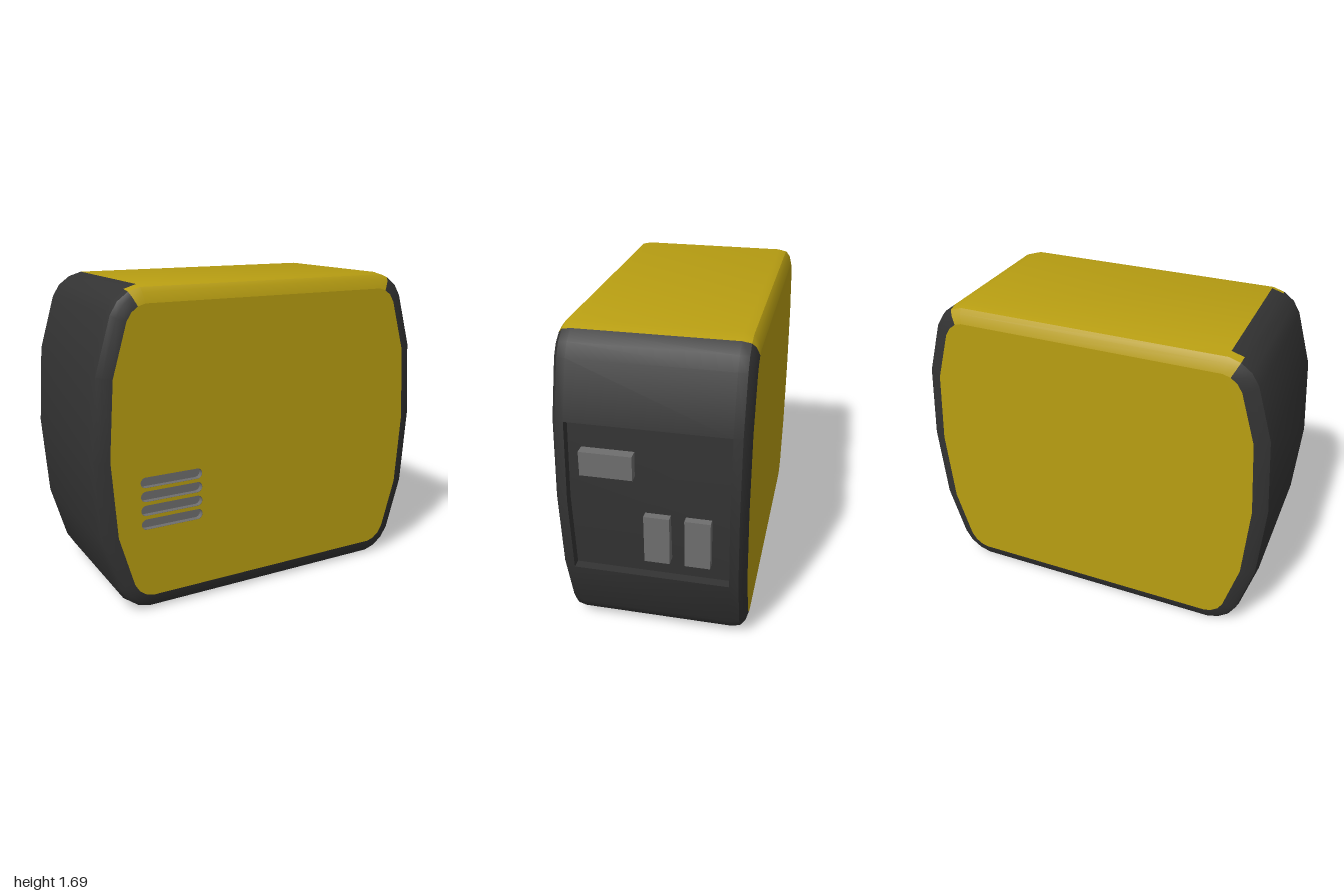
import * as THREE from 'three';
import { toCreasedNormals } from 'three/addons/utils/BufferGeometryUtils.js';

const yellow = new THREE.MeshStandardMaterial({ color: 0xb89e12 });
const black = new THREE.MeshStandardMaterial({ color: 0x333333, side: THREE.DoubleSide });
const grey = new THREE.MeshStandardMaterial({ color: 0x6e6e6e });

// Right half of the body outline, bottom to top; the left half is its mirror
const half = [
  [0.72, 0], [0.785, 0.02], [0.845, 0.065], [0.885, 0.13], [0.97, 0.425], [1, 0.85],
  [0.97, 1.27], [0.885, 1.56], [0.845, 1.625], [0.785, 1.67], [0.72, 1.69],
].map(([x, y]) => new THREE.Vector2(x, y));
const outline = [...half, ...half.slice().reverse().map(p => new THREE.Vector2(-p.x, p.y))];
const N = outline.length;

// Body cross-sections along z: [z, inset]
const sections = [[-0.485, 0.085], [-0.47, 0.035], [-0.45, 0.01], [-0.405, 0],
  [0.405, 0], [0.45, 0.01], [0.47, 0.035], [0.485, 0.085]];
const MIDDLE = 3;
const RECESS = [4, 5];
const SLOT_Y = [0.485, 0.56, 0.635, 0.71];

// Outline moved inwards by a fixed distance
function insetOutline(d) {
  return outline.map((p, i) => {
    const normal = (a, b) => new THREE.Vector2(b.y - a.y, a.x - b.x).normalize();
    const n1 = normal(outline[(i + N - 1) % N], p);
    const n2 = normal(p, outline[(i + 1) % N]);
    const n = n1.clone().add(n2).normalize();
    return p.clone().addScaledVector(n, -d / n.dot(n1));
  });
}

function addQuad(out, a, b, c, d) {
  for (const v of [a, b, c, a, c, d]) out.push(v.x, v.y, v.z);
}

function addMesh(group, name, geometry, material) {
  const mesh = new THREE.Mesh(geometry, material);
  mesh.name = name;
  group.add(mesh);
  return mesh;
}

function fromQuads(positions, crease) {
  const g = new THREE.BufferGeometry();
  g.setAttribute('position', new THREE.Float32BufferAttribute(positions, 3));
  return toCreasedNormals(g, crease);
}

// Rounded slot outline used for the vent openings
function slotPath(y) {
  const r = 0.028, x0 = -0.76 + r, x1 = -0.415 - r;
  const path = new THREE.Path();
  path.absarc(x1, y, r, -Math.PI / 2, Math.PI / 2, false);
  path.absarc(x0, y, r, Math.PI / 2, Math.PI * 1.5, false);
  path.closePath();
  return path;
}

export function createModel() {
  const model = new THREE.Group();
  model.name = 'roundedCase';

  // Shell: black band with a yellow strip over the top, open at the side recess
  const rings = sections.map(([z, d]) =>
    insetOutline(d).map(p => new THREE.Vector3(p.x, p.y, z)));
  const shell = [], topStrip = [], recess = [];
  for (let k = 0; k < rings.length - 1; k++) {
    for (let i = 0; i < N; i++) {
      if (k === MIDDLE && RECESS.includes(i)) continue;
      const j = (i + 1) % N;
      const isTop = i === 9 || i === 10 || (i === 11 && k !== MIDDLE);
      addQuad(isTop ? topStrip : shell, rings[k][i], rings[k][j], rings[k + 1][j], rings[k + 1][i]);
    }
  }
  addMesh(model, 'shell', fromQuads(shell, 0.6), black);
  addMesh(model, 'topPanel', fromQuads(topStrip, 0.6), yellow);

  // Sunken panel on the left side: floor and four walls
  const sink = v => v.clone().add(new THREE.Vector3(-0.05, 0, 0));
  const back = rings[MIDDLE], front = rings[MIDDLE + 1];
  for (const i of RECESS) {
    addQuad(recess, sink(back[i]), sink(back[i + 1]), sink(front[i + 1]), sink(front[i]));
    addQuad(recess, back[i], back[i + 1], sink(back[i + 1]), sink(back[i]));
    addQuad(recess, front[i + 1], front[i], sink(front[i]), sink(front[i + 1]));
  }
  addQuad(recess, back[4], sink(back[4]), sink(front[4]), front[4]);
  addQuad(recess, sink(back[6]), back[6], front[6], sink(front[6]));
  addMesh(model, 'sidePanel', fromQuads(recess, 0.3), black);

  // Blocks standing in the sunken panel: [y, z, height, depth]
  for (const [y, z, h, d] of [[1.06, 0.205, 0.13, 0.265],
    [0.665, -0.04, 0.265, 0.13], [0.665, -0.245, 0.265, 0.13]]) {
    addMesh(model, 'connector', new THREE.BoxGeometry(0.075, h, d), grey)
      .position.set(0.9475, y, z);
  }

  // Front and back faces; the front one is cut by the vent slots
  const facePoints = insetOutline(0.085);
  const frontShape = new THREE.Shape(facePoints);
  frontShape.holes = SLOT_Y.map(slotPath);
  addMesh(model, 'frontFace', new THREE.ShapeGeometry(frontShape), yellow).position.z = 0.485;
  const backFace = addMesh(model, 'backFace',
    new THREE.ShapeGeometry(new THREE.Shape(facePoints)), yellow);
  backFace.rotation.y = Math.PI;
  backFace.position.z = -0.485;

  // Vent housing: slot walls behind the front face and a closed floor
  const plate = new THREE.Shape([[-0.79, 0.43], [-0.39, 0.43], [-0.39, 0.765], [-0.79, 0.765]]
    .map(([x, y]) => new THREE.Vector2(x, y)));
  plate.holes = SLOT_Y.map(slotPath);
  const walls = new THREE.ExtrudeGeometry(plate, { depth: 0.03, bevelEnabled: false });
  addMesh(model, 'ventWalls', walls, grey).position.z = 0.453;
  addMesh(model, 'ventFloor', new THREE.BoxGeometry(0.4, 0.335, 0.01), grey)
    .position.set(-0.59, 0.5975, 0.449);

  return model;
}
